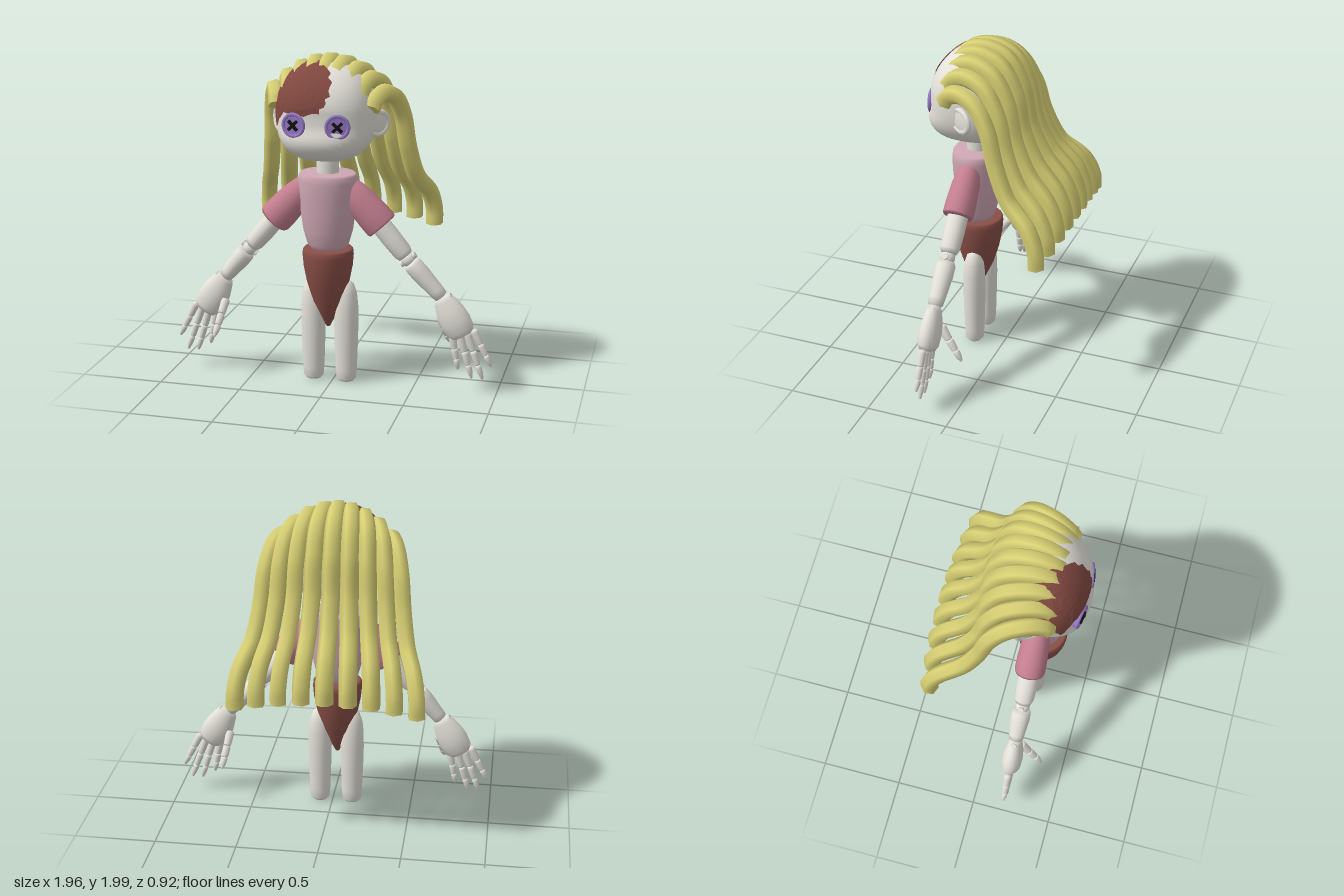
import * as THREE from 'three';
import { mergeVertices } from 'three/addons/utils/BufferGeometryUtils.js';

const V3 = THREE.Vector3;
const mat = (color, extra = {}) => new THREE.MeshStandardMaterial({ color, ...extra });
const skin = mat(0xe4e1d9);
const hairMat = mat(0xd8d074);
const topMat = mat(0xcfa8b4);
const sleeveMat = mat(0xc47f90);
const briefsMat = mat(0x8a4f47);
const patchMat = mat(0x804840, { flatShading: true, side: THREE.DoubleSide });
const buttonMat = mat(0x9478c4);
const blackMat = mat(0x101010);

function add(parent, name, geometry, material, x = 0, y = 0, z = 0) {
  const mesh = new THREE.Mesh(geometry, material);
  mesh.name = name;
  mesh.position.set(x, y, z);
  parent.add(mesh);
  return mesh;
}

// Lathe from [radius, height] pairs
const lathe = (profile, segments = 28) =>
  new THREE.LatheGeometry(profile.map(([r, y]) => new THREE.Vector2(r, y)), segments);

// Turned shape running from a to b; profile is [radius, fraction of the length]
function limb(parent, name, a, b, profile, material, flat = 1, segments = 20) {
  const start = new V3(...a), dir = new V3(...b).sub(start);
  const length = dir.length();
  const mesh = add(parent, name, lathe(profile.map(([r, t]) => [r, t * length]), segments), material, ...a);
  mesh.scale.z = flat;
  mesh.quaternion.setFromUnitVectors(new V3(0, 1, 0), dir.normalize());
  return mesh;
}

// Point on the head in a given direction: sloped forehead, recessed eye band, jutting chin
const HEAD = new V3(0, 1.67, 0.01);
function headPoint(d, grow = 1) {
  const n = d.clone().normalize();
  const p = 2.5 - 0.25 * Math.tanh(4 * n.y);
  const sum = Math.abs(n.x / 0.29) ** p + Math.abs(n.y / 0.288) ** p + Math.abs(n.z / 0.245) ** p;
  const out = n.clone().multiplyScalar(grow * sum ** (-1 / p));
  if (n.z > 0) {
    out.z *= 1 - 0.09 * Math.exp(-(((out.y + 0.07) / 0.06) ** 2));
    if (n.y > 0) out.z *= 1 - 3 * out.y * out.y;
    else out.z += 0.08 * -n.y * n.z;
  }
  return out.add(HEAD);
}

function headGeometry() {
  let g = new THREE.SphereGeometry(1, 48, 36);
  g.deleteAttribute('uv');
  g.deleteAttribute('normal');
  g = mergeVertices(g, 1e-4);
  const pos = g.attributes.position;
  for (let i = 0; i < pos.count; i++) {
    const q = headPoint(new V3().fromBufferAttribute(pos, i));
    pos.setXYZ(i, q.x, q.y, q.z);
  }
  g.computeVertexNormals();
  return g;
}

// Ragged scalp patch: rings spreading from a centre direction to an outline
function patchGeometry() {
  const outline = new THREE.CatmullRomCurve3([
    [0.035, 0.25, 0.14], [0.065, 0.175, 0.2], [0.055, 0.095, 0.24], [0.01, 0.03, 0.25],
    [-0.095, 0.005, 0.24], [-0.2, 0.005, 0.19], [-0.25, -0.07, 0.15], [-0.29, 0.04, 0.06],
    [-0.25, 0.17, -0.08], [-0.15, 0.25, -0.1], [-0.07, 0.28, 0],
  ].map(p => new V3(...p).normalize()), true);
  const centre = new V3(-0.5, 0.6, 0.62).normalize();
  const n = 40, rings = 5, pos = [], index = [];
  for (let r = 0; r <= rings; r++) {
    for (let i = 0; i < n; i++) {
      const jag = r === rings ? 0.06 * Math.sin(i * 2.4) : 0;
      const d = centre.clone().lerp(outline.getPoint(i / n), r / rings + jag);
      pos.push(...headPoint(d, 1.025).toArray());
      if (r === rings) continue;
      const j = (i + 1) % n, a = r * n + i, b = r * n + j;
      index.push(a, b + n, b, a, a + n, b + n);
    }
  }
  const g = new THREE.BufferGeometry();
  g.setAttribute('position', new THREE.Float32BufferAttribute(pos, 3));
  g.setIndex(index);
  g.computeVertexNormals();
  return g;
}

function buildHead(parent) {
  add(parent, 'head', headGeometry(), skin);
  add(parent, 'scalpPatch', patchGeometry(), patchMat);

  for (const s of [-1, 1]) {
    // Button eye with rim and crossed thread
    const eye = new THREE.Group();
    eye.name = 'buttonEye';
    eye.position.set(s * 0.128 - 0.01, 1.617, 0.236);
    eye.rotation.y = s * 0.2;
    add(eye, 'button', new THREE.CylinderGeometry(0.07, 0.07, 0.03, 32).rotateX(Math.PI / 2), buttonMat, 0, 0, -0.006);
    add(eye, 'buttonRim', new THREE.TorusGeometry(0.063, 0.011, 10, 32), buttonMat, 0, 0, 0.006);
    for (const t of [-1, 1]) {
      add(eye, 'thread', new THREE.BoxGeometry(0.075, 0.016, 0.016), blackMat, 0, 0, 0.014).rotation.z = t * Math.PI / 4;
    }
    parent.add(eye);

    // Ear, flaring outward to the back
    const ear = new THREE.Group();
    ear.name = 'ear';
    ear.position.set(s * 0.293, 1.6, -0.012);
    ear.rotation.y = s * 0.98;
    ear.scale.setScalar(1.08);
    add(ear, 'earBowl', new THREE.SphereGeometry(1, 20, 12), skin).scale.set(0.08, 0.07, 0.016);
    add(ear, 'earRim', new THREE.TorusGeometry(0.06, 0.016, 10, 28), skin).scale.x = 1.22;
    parent.add(ear);
  }
}

// Nine thick strands, fanning out backwards; [z, y] paths for the middle and the outermost
function buildHair(parent) {
  const middle = [[0.1, 1.86], [0.05, 1.92], [-0.06, 1.946], [-0.19, 1.895], [-0.28, 1.74], [-0.33, 1.51],
    [-0.42, 1.32], [-0.55, 1.16], [-0.597, 1.04], [-0.605, 0.945]];
  const outer = [[0.09, 1.7], [0.06, 1.745], [-0.02, 1.775], [-0.13, 1.74], [-0.215, 1.62], [-0.275, 1.41],
    [-0.365, 1.22], [-0.505, 1.09], [-0.56, 0.97], [-0.566, 0.87]];
  for (let i = -4; i <= 4; i++) {
    const k = i / 4, w = k * k;
    const path = new THREE.CatmullRomCurve3(middle.map(([z, y], j) => {
      const zz = z + (outer[j][0] - z) * w;
      return new V3(k * (0.28 + (0.09 - zz) * 0.39), y + (outer[j][1] - y) * w, zz);
    }));
    const radius = 0.054, sides = 6;
    add(parent, 'hairStrand', new THREE.TubeGeometry(path, 44, radius, sides), hairMat);
    // Flat ends
    const frames = path.computeFrenetFrames(44);
    for (const end of [0, 1]) {
      const t = path.getTangentAt(end).multiplyScalar(end ? 1 : -1);
      const cap = add(parent, 'hairEnd', new THREE.CircleGeometry(radius, sides), hairMat, ...path.getPointAt(end).toArray());
      const x = frames.normals[end * 44];
      cap.quaternion.setFromRotationMatrix(new THREE.Matrix4().makeBasis(x, t.clone().cross(x), t));
    }
  }
}

// Arm with a jointed hand; dx and dy move the wrist and hand
function buildArm(dx, dy) {
  const arm = new THREE.Group();
  arm.name = 'arm';
  const elbow = new V3(-0.488, 0.797, 0), wrist = new V3(-0.662 + dx, 0.588 + dy, 0);
  limb(arm, 'sleeve', [-0.1, 1.24, 0], [-0.33, 0.99, 0],
    [[0, 0], [0.045, 0.02], [0.075, 0.15], [0.092, 0.4], [0.101, 0.75], [0.102, 0.96], [0.096, 1], [0, 1]], sleeveMat, 0.9);
  limb(arm, 'upperArm', [-0.25, 1.08, 0], elbow.clone().add(new V3(0.012, 0.015, 0)).toArray(),
    [[0.058, 0], [0.06, 0.6], [0.056, 0.9], [0.045, 0.98], [0, 1]], skin, 1.06);
  limb(arm, 'forearm', elbow.clone().add(new V3(-0.012, -0.015, 0)).toArray(), wrist.clone().add(new V3(0.01, 0.012, 0)).toArray(),
    [[0, 0], [0.046, 0.02], [0.055, 0.1], [0.056, 0.3], [0.046, 0.8], [0.042, 0.95], [0, 1]], skin, 1.06);
  for (const [p, r] of [[elbow, 0.044], [wrist, 0.037]]) {
    add(arm, 'jointBall', new THREE.SphereGeometry(r, 18, 12), skin, ...p.toArray());
    add(arm, 'jointPin', new THREE.CylinderGeometry(0.018, 0.018, 0.108, 14), skin, ...p.toArray()).rotation.z = 0.9;
  }

  const hand = new THREE.Group();
  hand.name = 'hand';
  hand.position.set(dx, dy, 0);
  arm.add(hand);
  limb(hand, 'palm', [-0.645, 0.612, 0], [-0.782, 0.37, 0],
    [[0, 0], [0.045, 0.01], [0.065, 0.12], [0.088, 0.4], [0.095, 0.62], [0.088, 0.85], [0.065, 0.96], [0, 1]], skin, 0.68);

  // Fingers and thumb, three tapering segments each
  const fingers = [
    [[-0.838, 0.42, 0], [-0.949, 0.2, 0]], [[-0.8, 0.4, 0], [-0.9, 0.115, 0]],
    [[-0.757, 0.385, 0], [-0.835, 0.115, 0]], [[-0.712, 0.375, 0], [-0.752, 0.165, 0]],
    [[-0.637, 0.47, 0.03], [-0.668, 0.275, 0.17]],
  ];
  fingers.forEach(([a, b], f) => {
    const A = new V3(...a), B = new V3(...b), cuts = [0, 0.4, 0.7, 1];
    for (let s = 0; s < 3; s++) {
      const r = (f === 4 ? 0.027 : 0.024) - s * 0.003;
      limb(hand, f === 4 ? 'thumb' : 'finger',
        A.clone().lerp(B, cuts[s] - 0.01).toArray(), A.clone().lerp(B, cuts[s + 1] + 0.01).toArray(),
        [[0, 0], [r * 0.8, 0.04], [r, 0.2], [r * 0.88, s === 2 ? 0.55 : 0.9], [s === 2 ? r * 0.4 : r * 0.7, 0.96], [0, 1]], skin, 1, 12);
    }
  });
  return arm;
}

export function createModel() {
  const model = new THREE.Group();
  model.name = 'doll';
  const figure = new THREE.Group();
  figure.name = 'figure';
  figure.position.set(-0.028, 0, 0.198);
  model.add(figure);

  buildHead(figure);
  buildHair(figure);

  // Neck and body
  add(figure, 'neck', new THREE.CylinderGeometry(0.066, 0.066, 0.16, 24), skin, 0, 1.35, 0);
  add(figure, 'torso', lathe([[0, 0.83], [0.1, 0.83], [0.125, 0.865], [0.149, 0.95], [0.163, 1.05], [0.175, 1.17],
    [0.178, 1.25], [0.172, 1.285], [0.16, 1.298], [0, 1.3]], 36), topMat).scale.z = 0.84;
  add(figure, 'briefs', lathe([[0, 0.34], [0.012, 0.345], [0.05, 0.42], [0.092, 0.51], [0.128, 0.63], [0.147, 0.73],
    [0.153, 0.8], [0.15, 0.828], [0.14, 0.838], [0, 0.838]], 32), briefsMat);

  for (const s of [-1, 1]) {
    add(figure, 'leg', lathe([[0, 0], [0.045, 0.002], [0.06, 0.02], [0.065, 0.08], [0.071, 0.25], [0.074, 0.38],
      [0.072, 0.48], [0.064, 0.56], [0.045, 0.615], [0.02, 0.635], [0, 0.638]]), skin, s * 0.102 + 0.007, 0, -0.012).scale.z = 0.92;
  }

  // Second arm is the first one turned half way round, reaching slightly further
  const otherArm = buildArm(-0.045, -0.025);
  otherArm.rotation.y = Math.PI;
  figure.add(buildArm(0, 0), otherArm);
  return model;
}
